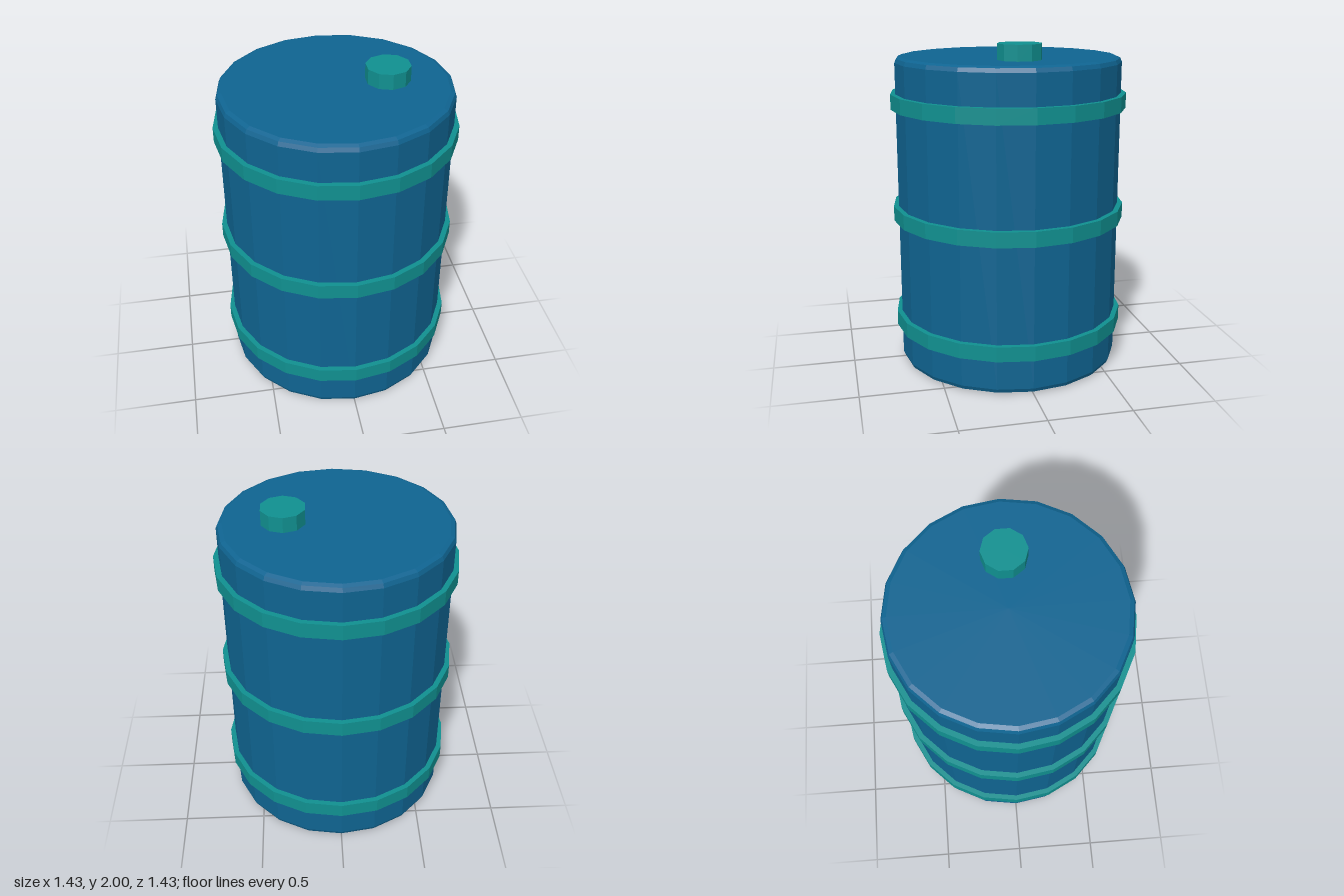
import * as THREE from 'three';

const SIDES = 20;

export function createModel() {
  const model = new THREE.Group();
  model.name = 'drum';

  const blue = new THREE.MeshStandardMaterial({ color: 0x0f6491 });
  blue.name = 'drum blue';
  const teal = new THREE.MeshStandardMaterial({ color: 0x109090 });
  teal.name = 'band teal';
  for (const material of [blue, teal]) material.flatShading = true;

  function add(name, geometry, material, x, y) {
    const mesh = new THREE.Mesh(geometry, material);
    mesh.name = name;
    mesh.position.set(x, y, 0);
    model.add(mesh);
  }

  // Closed body with a two-step bevel at both rims
  const height = 1.907;
  const rim = [[0, 0], [0.652, 0], [0.676, 0.01], [0.686, 0.034]];
  const profile = [
    ...rim.map(([r, y]) => new THREE.Vector2(r, y)),
    ...rim.slice().reverse().map(([r, y]) => new THREE.Vector2(r, height - y)),
  ];
  add('body', new THREE.LatheGeometry(profile, SIDES), blue, 0, 0);

  // Three raised hoops
  ['lowerBand', 'middleBand', 'upperBand'].forEach((name, i) => {
    const band = new THREE.CylinderGeometry(0.717, 0.717, 0.092, SIDES);
    add(name, band, teal, 0, 0.269 + i * 0.687);
  });

  // Filler cap on the lid
  add('cap', new THREE.CylinderGeometry(0.132, 0.132, 0.1, 10), teal, 0.303, 1.95);

  return model;
}
